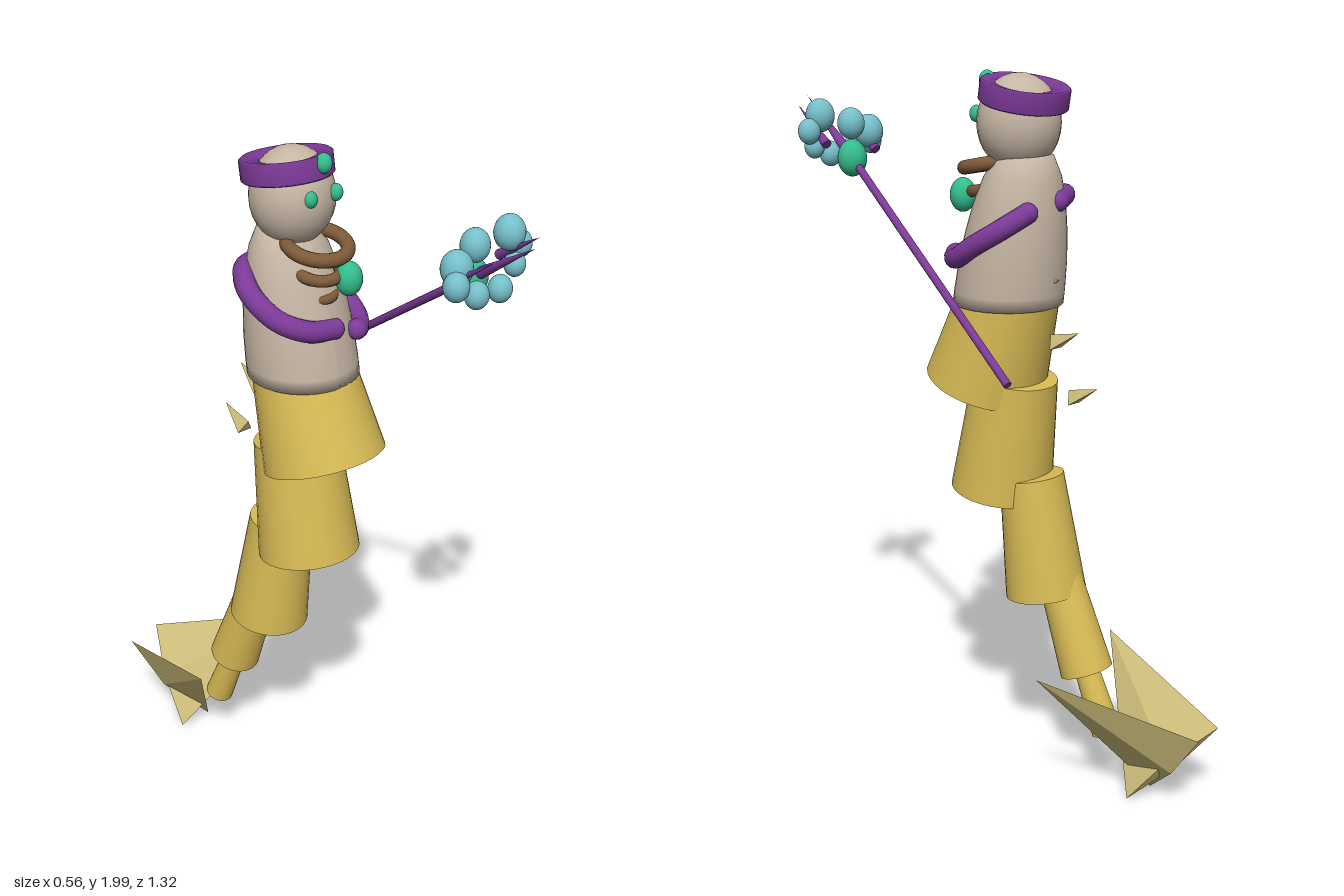
import * as THREE from 'three';

const V = (x, y, z) => new THREE.Vector3(x, y, z);
const mat = (name, color, extra = {}) => {
  const m = new THREE.MeshStandardMaterial({ color, ...extra });
  m.name = name;
  return m;
};

export function createModel() {
  const root = new THREE.Group();
  root.name = 'merfolkFigure';
  const skin = mat('skin', 0xc6b6a4);
  const scale = mat('tailGold', 0xd8bb55);
  const fin = mat('finGold', 0xcfbf7c, { side: THREE.DoubleSide, flatShading: true });
  const purple = mat('purple', 0x7c3a98);
  const brown = mat('brown', 0x7d5a38);
  const green = mat('green', 0x34bd8c);
  const blue = mat('blue', 0x76bfca);

  const add = (name, geo, material, parent = root) => {
    const m = new THREE.Mesh(geo, material);
    m.name = name;
    parent.add(m);
    return m;
  };
  const ball = (name, material, [x, y, z, r], sy = 1) => {
    const m = add(name, new THREE.SphereGeometry(r, 24, 16), material);
    m.position.set(x, y, z);
    m.scale.y = sy;
    return m;
  };
  // Tapered cylinder running from a (radius ra) to b (radius rb)
  const limb = (name, a, b, ra, rb, material, sides = 32) => {
    const m = add(name, new THREE.CylinderGeometry(rb, ra, a.distanceTo(b), sides), material);
    m.position.copy(a).add(b).multiplyScalar(0.5);
    m.quaternion.setFromUnitVectors(V(0, 1, 0), b.clone().sub(a).normalize());
    return m;
  };
  const tube = (name, pts, r, material) => {
    const curve = new THREE.CatmullRomCurve3(pts.map((p) => V(...p)));
    add(name, new THREE.TubeGeometry(curve, 40, r, 14), material);
    [pts[0], pts[pts.length - 1]].forEach((p) => ball(name + 'End', material, [...p, r]));
  };

  // Head and face
  ball('head', skin, [-0.035, 1.87, -0.045, 0.113], 1.15);
  ball('rightEye', green, [-0.06, 1.89, 0.054, 0.019], 1.2);
  ball('leftEye', green, [0.025, 1.89, 0.054, 0.019], 1.2);

  // Headband, tilted down at the back
  const bandProfile = [[0.07, -0.02], [0.115, -0.03], [0.121, -0.025], [0.121, 0.025], [0.115, 0.03], [0.07, 0.02], [0.07, -0.02]]
    .map(([x, y]) => new THREE.Vector2(x, y));
  const band = add('headband', new THREE.LatheGeometry(bandProfile, 40), purple);
  band.position.set(-0.04, 1.945, -0.06);
  band.rotation.x = -0.17;
  ball('headbandGem', green, [-0.017, 1.975, 0.056, 0.022], 1.2);

  // Torso, leaning back as it narrows
  const torsoProfile = [[0, 1.385], [0.151, 1.385], [0.151, 1.42], [0.148, 1.5], [0.14, 1.58], [0.127, 1.66], [0.108, 1.73], [0.08, 1.785], [0, 1.82]]
    .map(([x, y]) => new THREE.Vector2(x, y));
  const torso = new THREE.LatheGeometry(torsoProfile, 40);
  const tp = torso.attributes.position;
  for (let i = 0; i < tp.count; i++) {
    const t = (tp.getY(i) - 1.385) / 0.4;
    tp.setX(i, tp.getX(i) - 0.025 - 0.012 * t);
    tp.setZ(i, tp.getZ(i) * (1 - 0.07 * t) - 0.016 - 0.05 * t);
  }
  torso.computeVertexNormals();
  add('torso', torso, skin);

  // Arms wrapped around the body
  tube('rightArm', [[-0.07, 1.67, -0.155], [-0.145, 1.675, -0.11], [-0.187, 1.645, -0.035], [-0.165, 1.59, 0.045],
    [-0.1, 1.555, 0.09], [-0.015, 1.54, 0.095]], 0.029, purple);
  tube('leftArm', [[0.04, 1.65, -0.15], [0.095, 1.61, -0.11], [0.126, 1.56, -0.035], [0.122, 1.52, 0.03],
    [0.085, 1.51, 0.08], [0.065, 1.515, 0.095]], 0.028, purple);

  // Stacked beard rings and pendant
  [[1.757, 0.035, 0.08, 0.019], [1.69, 0.035, 0.06, 0.016], [1.628, 0.04, 0.04, 0.013]].forEach(([y, z, r, t], i) => {
    const ring = add('beardRing' + (i + 1), new THREE.TorusGeometry(r, t, 14, 40), brown);
    ring.position.set(-0.02, y, z);
    ring.rotation.x = Math.PI / 2 + 0.22;
  });
  ball('pendant', green, [0.03, 1.67, 0.102, 0.036], 1.3);

  // Tail segments: top point, bottom point, top radius, bottom radius
  [
    [V(-0.028, 1.475, -0.045), V(-0.015, 1.145, 0.06), 0.128, 0.17],
    [V(-0.035, 1.178, -0.035), V(-0.03, 0.84, 0.013), 0.118, 0.143],
    [V(-0.045, 0.9, -0.09), V(-0.06, 0.558, -0.135), 0.09, 0.114],
    [V(-0.07, 0.64, -0.165), V(-0.087, 0.347, -0.27), 0.06, 0.075],
    [V(-0.088, 0.4, -0.245), V(-0.102, 0.172, -0.337), 0.033, 0.042],
  ].forEach(([a, b, ra, rb], i) => limb('tailSegment' + (i + 1), b, a, rb, ra, scale));

  // Tail flukes: a flat diamond base drawn to a point
  const fluke = (name, tip, top, low) => {
    const mid = top.clone().add(low).multiplyScalar(0.5);
    const n = top.clone().sub(tip).cross(low.clone().sub(tip)).normalize().multiplyScalar(0.03);
    const base = [top, mid.clone().add(n), low, mid.clone().sub(n)];
    const tris = [];
    base.forEach((p, i) => tris.push(tip, p, base[(i + 1) % 4]));
    tris.push(base[0], base[3], base[2], base[0], base[2], base[1]);
    const g = new THREE.BufferGeometry().setFromPoints(tris);
    g.computeVertexNormals();
    add(name, g, fin);
  };
  fluke('rightFluke', V(-0.28, 0.385, -0.187), V(-0.22, 0.25, -0.64), V(-0.075, 0.01, -0.44));
  fluke('leftFluke', V(0.128, 0.39, -0.277), V(-0.11, 0.255, -0.66), V(-0.178, 0.01, -0.44));

  // Small spines down the back
  [[1.468, -0.19], [1.33, -0.25], [1.185, -0.31]].forEach(([y, z], i) => {
    const x = -0.045 - i * 0.01;
    limb('backSpine' + (i + 1), V(x, y - 0.045, z + 0.09), V(x, y, z), 0.027, 0, fin, 3);
  });

  // Staff with gem, spikes and bubbles
  const gem = V(0.145, 1.748, 0.425);
  limb('staff', V(0.253, 1.255, -0.29), gem, 0.011, 0.011, purple, 12);
  ball('staffGem', green, [gem.x, gem.y, gem.z, 0.041], 1.25);
  limb('middleSpike', gem, V(0.113, 1.9, 0.655), 0.018, 0, purple, 12);
  limb('rightSpike', V(0.045, 1.76, 0.44), V(0.045, 1.86, 0.588), 0.014, 0, purple, 12);
  limb('leftSpike', V(0.222, 1.79, 0.44), V(0.2, 1.885, 0.588), 0.014, 0, purple, 12);
  [
    [0.045, 1.81, 0.47, 0.041], [0.015, 1.78, 0.5, 0.033], [0.06, 1.755, 0.525, 0.031],
    [0.13, 1.84, 0.445, 0.038], [0.14, 1.75, 0.525, 0.031],
    [0.208, 1.865, 0.483, 0.04], [0.25, 1.825, 0.48, 0.031], [0.225, 1.78, 0.49, 0.028],
  ].forEach((b, i) => ball('bubble' + (i + 1), blue, b, 1.15));

  return root;
}
